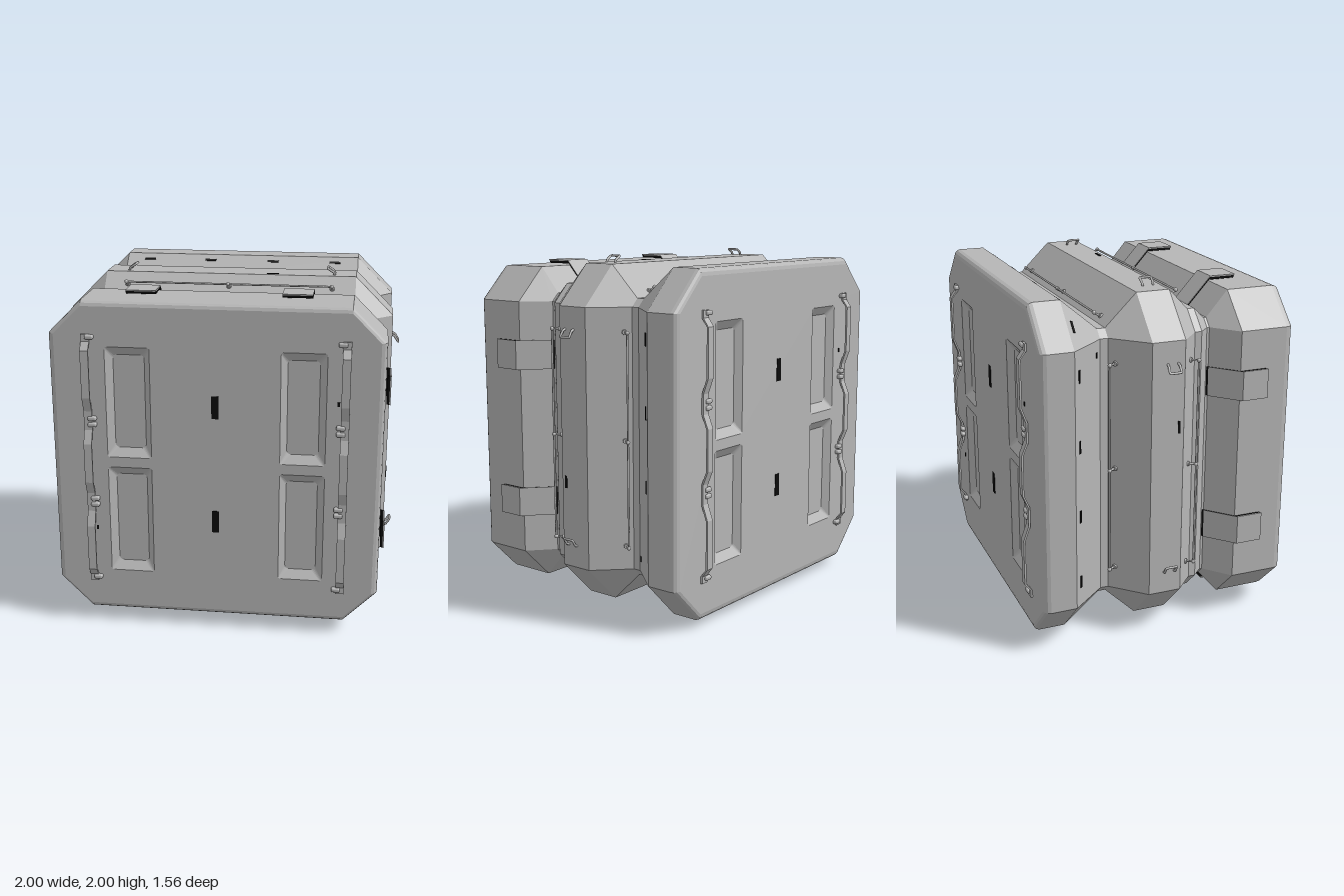
import * as THREE from 'three';
import { RoundedBoxGeometry } from 'three/addons/geometries/RoundedBoxGeometry.js';

const EDGE = 0.735; // half length of each flat side; corners are chamfered beyond it
const FACE = 0.735; // z of the end faces
// Half width of the octagonal hull along z, front to back
const PROFILE = [
  [0.735, 0.893], [0.728, 0.91], [0.715, 0.92], [0.695, 0.925], [0.42, 0.925], [0.295, 0.78],
  [0.28, 0.78], [0.22, 0.84], [0.18, 0.84], [0.07, 0.957], [-0.12, 0.957], [-0.3, 0.78],
  [-0.345, 0.78], [-0.55, 0.955], [-0.7, 0.955], [-0.718, 0.949], [-0.73, 0.935], [-0.735, 0.915],
];

export function createModel() {
  const hullGrey = new THREE.MeshStandardMaterial({ color: 0xb6b6b6 });
  hullGrey.name = 'hullGrey';
  const black = new THREE.MeshStandardMaterial({ color: 0x0a0a0a });
  black.name = 'black';

  const root = new THREE.Group();
  root.name = 'octagonalModule';
  const body = new THREE.Group();
  body.name = 'body';
  body.position.y = 1;
  root.add(body);

  const add = (parent, name, geometry, material = hullGrey) => {
    const mesh = new THREE.Mesh(geometry, material);
    mesh.name = name;
    parent.add(mesh);
    return mesh;
  };
  const group = (parent, name) => {
    const g = new THREE.Group();
    g.name = name;
    parent.add(g);
    return g;
  };

  // Flat-faced skin between successive closed loops of [x, y, z]
  const loft = (loops) => {
    const pos = [];
    for (let k = 0; k + 1 < loops.length; k++) {
      const n = loops[k].length;
      for (let i = 0; i < n; i++) {
        const j = (i + 1) % n;
        const [a, b, c, d] = [loops[k][i], loops[k][j], loops[k + 1][i], loops[k + 1][j]];
        pos.push(...a, ...c, ...b, ...b, ...c, ...d);
      }
    }
    const g = new THREE.BufferGeometry();
    g.setAttribute('position', new THREE.Float32BufferAttribute(pos, 3));
    g.computeVertexNormals();
    return g;
  };
  const octagon = (r) => [[r, -EDGE], [r, EDGE], [EDGE, r], [-EDGE, r],
    [-r, EDGE], [-r, -EDGE], [-EDGE, -r], [EDGE, -r]];
  const roundRect = (x0, x1, y0, y1, r) => {
    const pts = [];
    [[x1 - r, y1 - r], [x0 + r, y1 - r], [x0 + r, y0 + r], [x1 - r, y0 + r]].forEach(([cx, cy], q) => {
      for (let i = 0; i <= 4; i++) {
        const a = (q + i / 4) * Math.PI / 2;
        pts.push([cx + r * Math.cos(a), cy + r * Math.sin(a)]);
      }
    });
    return pts;
  };
  const vec2 = (pts) => pts.map(([x, y]) => new THREE.Vector2(x, y));
  const atZ = (pts, z) => pts.map(([x, y]) => [x, y, z]);

  // Strip following a [z, y] line, thickened by a shift, extruded along x
  const strip = (line, from, to, width) => {
    const edge = (s) => line.map(([z, y]) => [z + s[0], y + s[1]]);
    const shape = new THREE.Shape(vec2([...edge(from), ...edge(to).reverse()]));
    const g = new THREE.ExtrudeGeometry(shape, { depth: width, bevelEnabled: false });
    g.translate(0, 0, -width / 2);
    g.rotateY(-Math.PI / 2);
    return g;
  };
  const tube = (pts, radius) => {
    const v = pts.map((p) => new THREE.Vector3(...p));
    const path = new THREE.CurvePath();
    for (let i = 0; i + 1 < v.length; i++) path.add(new THREE.LineCurve3(v[i], v[i + 1]));
    const curve = new THREE.CatmullRomCurve3(v, false, 'catmullrom', 0.1);
    return new THREE.TubeGeometry(curve, v.length * 8, radius, 8);
  };

  // Hull shell
  add(body, 'hull', loft(PROFILE.map(([z, r]) => atZ(octagon(r), z))));

  // End faces: recessed panels, slots and wavy handrails
  const handLine = [[0.012, 0.74], [0.012, 0.7], [0.045, 0.655], [0.045, 0.385], [0.014, 0.3],
    [0.014, 0.19], [0.045, 0.115]];
  handLine.push(...handLine.map(([z, y]) => [z, -y]).reverse());
  const endFace = (name, radius, turn) => {
    const end = group(body, name);
    end.rotation.y = turn;
    const face = group(end, name + 'Plane');
    face.position.z = FACE;

    const shape = new THREE.Shape(vec2(octagon(radius)));
    for (const sx of [-1, 1]) for (const sy of [-1, 1]) {
      const rect = (x0, x1, y0, y1, r) => roundRect(
        Math.min(sx * x0, sx * x1), Math.max(sx * x0, sx * x1),
        Math.min(sy * y0, sy * y1), Math.max(sy * y0, sy * y1), r);
      const rim = rect(0.36, 0.61, 0.03, 0.67, 0.012);
      const floor = rect(0.395, 0.57, 0.08, 0.62, 0.022);
      shape.holes.push(new THREE.Path(vec2(rim)));
      add(face, 'recessWall', loft([atZ(rim, 0).reverse(), atZ(floor, -0.035).reverse()]));
      add(face, 'recessFloor', new THREE.ShapeGeometry(new THREE.Shape(vec2(floor))))
        .position.z = -0.035;
    }
    add(face, 'endPlate', new THREE.ShapeGeometry(shape));

    for (const [x, y, w, h] of [[0, 0.345, 0.04, 0.13], [0, -0.335, 0.04, 0.13],
      [0.675, 0.39, 0.015, 0.024], [-0.685, -0.405, 0.012, 0.024]]) {
      add(face, 'faceSlot', new THREE.BoxGeometry(w, h, 0.006), black).position.set(x, y, 0);
    }
    for (const s of [-1, 1]) {
      add(face, 'handrail', strip(handLine, [0, 0], [-0.011, 0], 0.046)).position.x = s * 0.713;
      for (const y of [0.725, 0.258, 0.222, -0.222, -0.258, -0.715]) {
        add(face, 'railClamp', new RoundedBoxGeometry(0.05, 0.026, 0.034, 2, 0.01))
          .position.set(s * 0.69, y, 0.008);
      }
    }
  };
  endFace('frontFace', PROFILE[0][1], 0);
  endFace('backFace', PROFILE[PROFILE.length - 1][1], Math.PI);

  // Frame lying on the hull surface at a given x and z of one side
  const surface = (parent, name, x, z, chamfer = false) => {
    const k = PROFILE.findIndex(([pz]) => pz <= z);
    const [[z0, r0], [z1, r1]] = [PROFILE[k - 1], PROFILE[k]];
    const slope = (r1 - r0) / (z1 - z0);
    const r = r0 + slope * (z - z0);
    const g = group(parent, name);
    g.position.set(x, chamfer ? (r + EDGE) / Math.SQRT2 : r, z);
    g.rotation.x = -Math.atan(chamfer ? slope / Math.SQRT2 : slope);
    return g;
  };
  const slot = (parent, x, z, w, d, chamfer) =>
    add(surface(parent, 'slotMount', x, z, chamfer), 'sideSlot',
      new THREE.BoxGeometry(w, 0.007, d), black);

  // Four matching sides: pads, grab rails, loops and slots
  const padLine = [[0.578, 0.954], [0.425, 0.954], [0.29, 0.805]];
  ['topSide', 'rightSide', 'bottomSide', 'leftSide'].forEach((name, i) => {
    const side = group(body, name);
    side.rotation.z = -i * Math.PI / 2;

    for (const s of [-1, 1]) {
      add(side, 'padSkin', strip(padLine, [0, 0], [-0.003, -0.007], 0.168)).position.x = s * 0.432;
      add(side, 'padCore', strip(padLine, [-0.003, -0.007], [-0.008, -0.021], 0.166), black)
        .position.x = s * 0.432;
      add(side, 'gripLoop', tube([[0.612, 0.95, -0.03], [0.603, 0.972, -0.032],
        [0.57, 0.993, -0.032], [0.57, 0.993, 0.032], [0.603, 0.972, 0.032],
        [0.612, 0.95, 0.03]], 0.007)).scale.x = 1;
      if (s < 0) side.children[side.children.length - 1].rotation.y = Math.PI;
    }

    for (const z of [0.13, -0.27]) {
      const rail = surface(side, 'grabRail', 0, z);
      const lean = Math.sign(z) * 0.012;
      add(rail, 'railBar', tube([[-0.6, -0.005, 0], [-0.6, 0.035, lean], [-0.585, 0.045, lean],
        [0.585, 0.045, lean], [0.6, 0.035, lean], [0.6, -0.005, 0]], 0.006));
      add(rail, 'railPost', tube([[0, -0.005, 0], [0, 0.03, lean], [0, 0.045, lean]], 0.007));
      for (const x of [-0.6, 0, 0.6]) {
        add(rail, 'railFoot', new THREE.CylinderGeometry(0.013, 0.015, 0.012, 12)).position.set(x, 0.004, 0);
        add(rail, 'railKnob', new THREE.SphereGeometry(0.012, 12, 8)).position.set(x, 0.045, lean);
      }
    }

    // The right side has no slot at its lower end
    for (const x of i === 1 ? [-0.59, -0.2, 0.2] : [-0.59, -0.2, 0.2, 0.59]) {
      slot(side, x, -0.515, 0.07, 0.014);
    }
    slot(side, 0.25, 0.042, 0.07, 0.014);
    slot(side, 0.655, -0.375, 0.03, 0.012);
  });

  // Slots on two opposite chamfered corners
  for (const turn of [Math.PI / 4, -3 * Math.PI / 4]) {
    const corner = group(body, 'chamferCorner');
    corner.rotation.z = turn;
    slot(corner, 0, -0.515, 0.07, 0.014, true);
  }
  return root;
}
